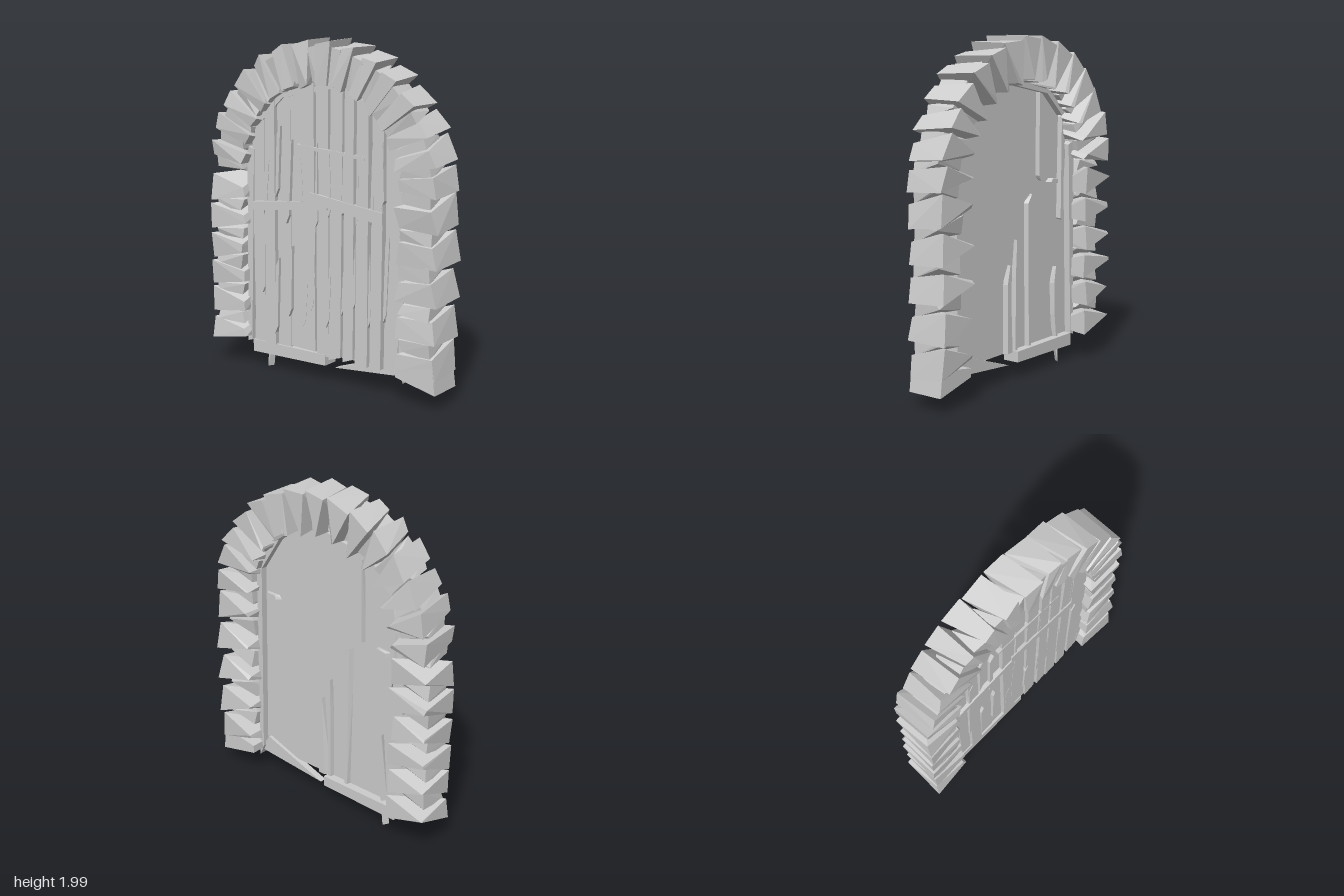
import * as THREE from 'three';
import { ConvexGeometry } from 'three/addons/geometries/ConvexGeometry.js';

const material = new THREE.MeshStandardMaterial({ color: 0xcccccc, flatShading: true });

// Small seeded generator, returns -1..1
let seed = 7;
const rnd = () => {
  seed = (seed * 16807) % 2147483647;
  return (seed / 2147483647) * 2 - 1;
};

const SPRING = 1.2, BASE = 0.16, MID = 0.67;
const JAMB = SPRING - BASE, ARC = Math.PI * MID;

// Point on the arch band: s runs up the +z jamb, over the arch and down the -z jamb
function bandPoint(x, s, r) {
  if (s < JAMB) return new THREE.Vector3(x, BASE + s, r);
  if (s > JAMB + ARC) return new THREE.Vector3(x, BASE + 2 * JAMB + ARC - s, -r);
  const a = (s - JAMB) / MID;
  return new THREE.Vector3(x, SPRING + r * Math.sin(a), r * Math.cos(a));
}

// Wedge stone: each end face gives [x, outer half width, inner half width, shift along the band]
function stone(name, s, ends, outer, inner, jag) {
  const pts = [];
  for (const [x, wo, wi, shift] of ends) {
    for (const side of [-1, 1]) {
      pts.push(bandPoint(x + rnd() * 0.012, s + shift + side * wo + rnd() * 0.012, outer - side * jag + rnd() * 0.006));
      pts.push(bandPoint(x + rnd() * 0.012, s + shift + side * wi + rnd() * 0.01, inner + rnd() * 0.018));
    }
  }
  const mesh = new THREE.Mesh(new ConvexGeometry(pts), material);
  mesh.name = name;
  return mesh;
}

// Thin board from [z, y] outline corners, x0 at the back and x1 at the front;
// taper below 1 narrows the front face towards the outline's middle
function board(name, outline, x0, x1, taper = 1) {
  const mid = outline.reduce((sum, p) => sum + p[0], 0) / outline.length;
  const pts = [];
  for (const [z, y] of outline) {
    pts.push(new THREE.Vector3(x0, y, z), new THREE.Vector3(x1, y, mid + (z - mid) * taper));
  }
  const mesh = new THREE.Mesh(new ConvexGeometry(pts), material);
  mesh.name = name;
  return mesh;
}

export function createModel() {
  seed = 7;
  const group = new THREE.Group();

  // Stone surround: jagged wedges, with smaller recessed wedges in the gaps
  const surround = new THREE.Group();
  surround.name = 'stoneSurround';
  const runs = [
    { start: 0, length: JAMB, count: 5 },
    { start: JAMB, length: ARC, count: 15 },
    { start: JAMB + ARC, length: JAMB, count: 6, outward: true },
  ];
  for (const { start, length, count, outward } of runs) {
    const pitch = length / count, wide = pitch * 0.43, tip = 0.01;
    const lean = outward ? 0.035 : -0.035;
    for (let i = 0; i < count; i++) {
      const s = start + (i + 0.5) * pitch;
      const ends = outward
        ? [[0.118, tip, wide, 0], [-0.125, wide, wide * 0.4, lean]]
        : [[0.118, wide, tip, 0], [-0.125, wide * 0.7, wide * 0.7, lean]];
      surround.add(stone('wedgeStone', s, ends, 0.785, 0.545, outward ? 0 : 0.012));
      if (outward && i === count - 1) continue;
      const fill = outward
        ? [[0.05, wide * 0.6, tip, 0], [-0.11, wide * 0.3, wide * 0.5, lean]]
        : [[0.05, tip, wide * 0.6, 0], [-0.11, wide * 0.5, wide * 0.4, lean]];
      surround.add(stone('fillerStone', s + pitch / 2, fill, 0.755, 0.56, 0));
    }
  }
  // Lowest stone flares down below the +z jamb
  surround.add(board('footStone', [[0.8, 0.09], [0.78, 0.24], [0.54, 0.2], [0.54, 0.15]], -0.12, 0.1));
  group.add(surround);

  // Flat arched door panel
  const arch = new THREE.Shape();
  arch.moveTo(-0.54, BASE);
  arch.lineTo(0.54, BASE);
  arch.lineTo(0.54, SPRING);
  arch.absarc(0, SPRING, 0.54, 0, Math.PI, false);
  arch.closePath();
  const panelGeo = new THREE.ExtrudeGeometry(arch, { depth: 0.02, bevelEnabled: false, curveSegments: 10 });
  panelGeo.rotateY(Math.PI / 2).translate(-0.04, 0, 0);
  const panel = new THREE.Mesh(panelGeo, material);
  panel.name = 'doorPanel';
  group.add(panel);

  // Uneven vertical planks on the back, with narrow splinters over the joints
  const count = 11, step = 1.04 / count;
  const archTop = z => SPRING + Math.sqrt(Math.max(0, 0.55 ** 2 - z * z));
  for (let i = 0; i < count; i++) {
    const z = -0.52 + (i + 0.5) * step;
    const l = z - step * 0.42 + rnd() * 0.012, r = z + step * 0.42 + rnd() * 0.012;
    group.add(board('backPlank', [
      [l, BASE + rnd() * 0.02], [r, BASE + rnd() * 0.02],
      [r + rnd() * 0.015, archTop(r)], [l + rnd() * 0.015, archTop(l)],
    ], -0.065 + rnd() * 0.015, -0.035));
    if (i === 0) continue;
    // One low and one high splinter per joint
    for (const low of [0.2 + (rnd() + 1) * 0.15, 0.85 + (rnd() + 1) * 0.12]) {
      const j = z - step / 2 + rnd() * 0.02, high = low + 0.4 + rnd() * 0.12;
      group.add(board('backSplinter',
        [[j - 0.012, low], [j + 0.01, low + 0.05], [j + 0.012 + rnd() * 0.02, high], [j, high - 0.05]],
        -0.078, -0.04));
    }
  }

  // Broken cross rails on the back
  group.add(board('crossRail', [[-0.5, 0.97], [-0.5, 1.02], [0.04, 1.08], [0.04, 1.03]], -0.085, -0.04));
  group.add(board('crossRail', [[-0.08, 1.06], [-0.08, 1.12], [0.42, 1.06], [0.42, 0.99]], -0.085, -0.04));
  group.add(board('crossRail', [[-0.18, 1.37], [-0.18, 1.39], [0.3, 1.36], [0.3, 1.34]], -0.08, -0.04));

  // Splinters standing proud of the panel's front
  const splinters = [
    [[-0.22, 1.66], [-0.24, 1.64], [-0.25, 1.14], [-0.215, 1.17]],
    [[-0.44, 1.5], [-0.48, 1.37], [-0.51, 1.28], [-0.44, 0.88], [-0.425, 0.89]],
    [[0.1, BASE], [0.1, 0.57], [0.05, 0.68], [0.01, BASE]],
    [[0.02, BASE], [0.015, 0.6], [-0.01, 0.82], [-0.02, 0.5], [-0.02, BASE]],
    [[-0.11, BASE], [-0.1, 1.02], [-0.17, 1.07], [-0.15, BASE]],
    [[-0.36, 0.5], [-0.395, 0.6], [-0.43, 0.15], [-0.44, 0], [-0.37, 0.3]],
    [[0.51, 1.23], [0.4, 1.23], [0.38, 1.205], [0.51, 1.205]],
    [[-0.31, 1.12], [-0.34, 1.14], [-0.44, 1.13], [-0.44, 1.11]],
  ];
  for (const outline of splinters) group.add(board('frontSplinter', outline, -0.03, 0.005, 0.5));

  // Thin lining strips along the jambs, shoulders and crown
  const linings = [
    [[0.56, 0.1], [0.53, 0.17], [0.51, 1.38], [0.55, 1.38]],
    [[-0.56, 0.15], [-0.53, 0.16], [-0.5, 1.33], [-0.55, 1.35]],
    [[0.51, 1.38], [0.5, 1.42], [0.36, 1.61], [0.4, 1.6], [0.55, 1.4]],
    [[0.06, 1.72], [0.05, 1.75], [-0.3, 1.67], [-0.28, 1.65]],
    [[-0.28, 1.65], [-0.3, 1.67], [-0.46, 1.53], [-0.43, 1.51]],
  ];
  for (const outline of linings) group.add(board('lining', outline, -0.07, 0.02));

  // Loose threshold boards
  group.add(board('thresholdBoard', [[0.56, 0.15], [0.5, 0.24], [0.07, 0.09], [0.54, 0.13]], -0.04, 0));
  group.add(board('thresholdBoard', [[0.02, 0.165], [-0.52, 0.165], [-0.52, 0.09], [0.02, 0.1]], -0.07, 0.03));

  return group;
}
